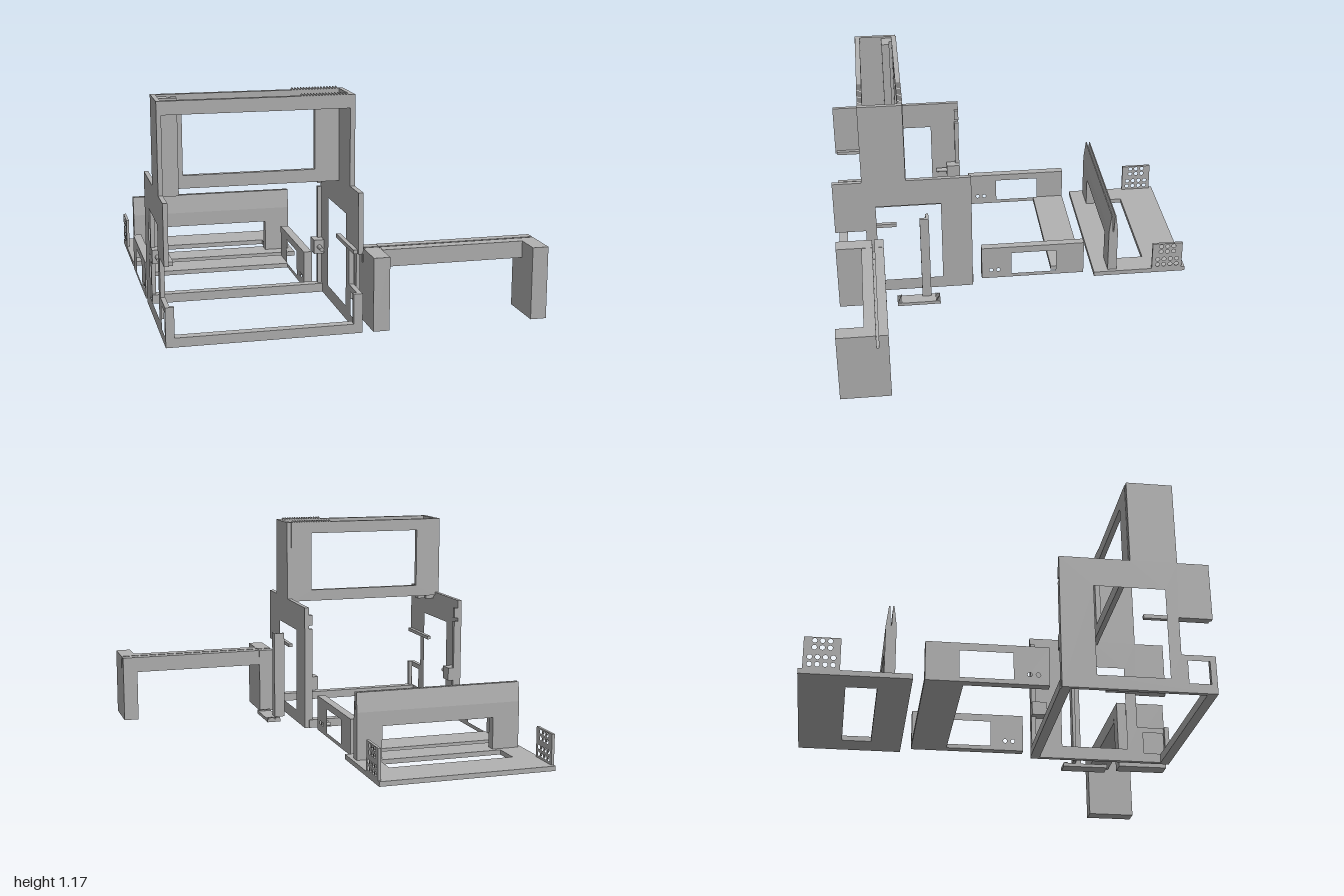
import * as THREE from 'three';

const grey = new THREE.MeshStandardMaterial({ color: 0xb2b2b2 });
grey.name = 'grey plastic';

function add(group, name, geometry) {
  const mesh = new THREE.Mesh(geometry, grey);
  mesh.name = name;
  group.add(mesh);
  return mesh;
}

// box given by its limits on each axis
function box(group, name, x0, x1, y0, y1, z0, z1) {
  const g = new THREE.BoxGeometry(x1 - x0, y1 - y0, z1 - z0);
  g.translate((x0 + x1) / 2, (y0 + y1) / 2, (z0 + z1) / 2);
  return add(group, name, g);
}

const rect = (a0, a1, y0, y1) => [[a0, y0], [a1, y0], [a1, y1], [a0, y1]];

function circle(a, y, r) {
  return Array.from({ length: 16 }, (_, i) => {
    const t = (i / 16) * Math.PI * 2;
    return [a + r * Math.cos(t), y + r * Math.sin(t)];
  });
}

function toShape(points, holes) {
  const vec = (list) => list.map(([a, b]) => new THREE.Vector2(a, b));
  const s = new THREE.Shape(vec(points));
  holes.forEach((h) => s.holes.push(new THREE.Path(vec(h))));
  return s;
}

// outline in (z, y), extruded from x0 to x1
function sidePlate(group, name, x0, x1, points, holes = []) {
  const flip = (list) => list.map(([z, y]) => [-z, y]);
  const g = new THREE.ExtrudeGeometry(toShape(flip(points), holes.map(flip)), { depth: x1 - x0, bevelEnabled: false });
  g.rotateY(Math.PI / 2);
  g.translate(x0, 0, 0);
  return add(group, name, g);
}

// outline in (x, y), extruded from z0 to z1
function facePlate(group, name, z0, z1, points, holes = []) {
  const g = new THREE.ExtrudeGeometry(toShape(points, holes), { depth: z1 - z0, bevelEnabled: false });
  g.translate(0, 0, z0);
  return add(group, name, g);
}

function part(parent, name) {
  const g = new THREE.Group();
  g.name = name;
  parent.add(g);
  return g;
}

function buildMainFrame(root) {
  const f = part(root, 'mainFrame');
  const outline = [[0.24, 0], [1, 0], [1, 0.2], [0.83, 0.2], [0.83, 0.4], [1, 0.4], [1, 0.705],
    [0.84, 0.705], [0.84, 1.16], [0.6, 1.16], [0.6, 0.705], [0.24, 0.705]];
  const holes = [rect(0.41, 0.77, 0.07, 0.55), rect(0.86, 0.97, 0.05, 0.17)];
  sidePlate(f, 'rightSidePanel', -0.97, -0.947, outline, holes);
  sidePlate(f, 'leftSidePanel', -0.025, 0, outline, holes);

  // floor bars
  box(f, 'frontFloorBar', -0.947, -0.025, 0, 0.047, 0.95, 1);
  box(f, 'backFloorBar', -0.947, -0.025, 0, 0.047, 0.235, 0.285);

  // tower: windowed back wall and a top front bar, both with a toothed edge
  facePlate(f, 'towerBackWall', 0.597, 0.625, rect(-0.947, -0.025, 0.688, 1.16),
    [rect(-0.82, -0.15, 0.753, 1.093)]);
  box(f, 'towerFrontBar', -0.947, -0.025, 1.093, 1.16, 0.81, 0.838);
  for (const z of [0.597, 0.81]) {
    for (let i = 0; i < 16; i++) {
      const x = -0.27 + i * 0.015;
      facePlate(f, 'tooth', z, z + 0.028, [[x, 1.158], [x + 0.013, 1.158], [x + 0.0065, 1.17]]);
    }
  }

  // hollow-looking column inside the tower
  box(f, 'towerColumn', -0.947, -0.85, 0.665, 1.15, 0.64, 0.685);
  box(f, 'towerColumnBack', -0.947, -0.895, 0.665, 1.15, 0.62, 0.64);

  // inner rails, corner posts and peg blocks on both sides
  for (const [wall, inward] of [[-0.947, 1], [-0.025, -1]]) {
    const inner = (name, w, y0, y1, z0, z1) =>
      box(f, name, Math.min(wall, wall + inward * w), Math.max(wall, wall + inward * w), y0, y1, z0, z1);
    inner('cornerPost', 0.022, 0, 0.58, 0.24, 0.265);
    inner('frontStub', 0.02, 0.047, 0.2, 0.975, 1);
    inner('lowerRail', 0.022, 0.4, 0.42, 0.66, 0.99);
    inner('upperRail', 0.022, 0.6, 0.66, 0.24, 0.265);
    inner('pegBlock', 0.055, 0.225, 0.3, 0.24, 0.32);
    const peg = new THREE.CylinderGeometry(0.012, 0.012, 0.065, 16);
    peg.rotateX(Math.PI / 2);
    peg.translate(wall + inward * 0.027, 0.262, 0.352);
    add(f, 'peg', peg);
  }
}

function buildTray(root) {
  const t = part(root, 'uShapedTray');
  const outline = rect(-0.41, 0.183, 0, 0.2);
  const holes = [rect(-0.248, 0.01, 0.022, 0.16), circle(0.128, 0.053, 0.011), circle(0.087, 0.053, 0.011)];
  sidePlate(t, 'rightArm', -0.97, -0.925, outline, holes);
  sidePlate(t, 'leftArm', -0.105, -0.06, outline, holes);
  box(t, 'trayFloor', -0.925, -0.105, 0, 0.025, -0.41, -0.225);
}

function buildBasePlate(root) {
  const b = part(root, 'slottedBase');
  const plate = new THREE.ExtrudeGeometry(
    toShape(rect(-0.97, -0.01, 0.465, 1), [rect(-0.835, -0.145, 0.625, 0.775)]),
    { depth: 0.026, bevelEnabled: false });
  plate.rotateX(-Math.PI / 2);
  add(b, 'basePlate', plate);

  // upright wall: two legs below a tapered, grooved upper part
  box(b, 'wallLeg', -0.95, -0.8, 0.026, 0.2, -0.6, -0.548);
  box(b, 'wallLeg', -0.17, -0.03, 0.026, 0.2, -0.6, -0.548);
  sidePlate(b, 'groovedWall', -0.95, -0.03, [[-0.548, 0.2], [-0.548, 0.28], [-0.561, 0.385], [-0.567, 0.385],
    [-0.572, 0.28], [-0.576, 0.28], [-0.581, 0.385], [-0.587, 0.385], [-0.6, 0.28], [-0.6, 0.2]]);

  // perforated end panels
  const holes = [];
  for (const y of [0.172, 0.137]) for (const z of [-0.855, -0.892, -0.929]) holes.push(circle(z, y, 0.012));
  for (const y of [0.087, 0.05]) for (const z of [-0.838, -0.875, -0.912, -0.949]) holes.push(circle(z, y, 0.012));
  for (const x of [-0.97, -0.025]) {
    sidePlate(b, 'perforatedPanel', x, x + 0.015, rect(-0.98, -0.805, 0.026, 0.19), holes);
  }
}

function buildBridge(root) {
  const d = part(root, 'bridgeBracket');
  // beam section with a narrow slot, carried on through both legs
  const slot = [[0.8, 0.375], [0.8, 0.3], [0.788, 0.3], [0.788, 0.375], [0.738, 0.375]];
  sidePlate(d, 'beam', 0.14, 0.885, [[0.738, 0.287], [0.86, 0.287], [0.86, 0.375], ...slot]);
  for (const x of [0.055, 0.885]) {
    sidePlate(d, 'leg', x, x + 0.083, [[0.738, 0], [1, 0], [1, 0.375], ...slot]);
  }
}

function buildPost(root) {
  const p = part(root, 'latchPost');
  box(p, 'foot', 0.093, 0.17, 0, 0.018, 0.437, 0.677);
  box(p, 'postWeb', 0.053, 0.113, 0.018, 0.52, 0.485, 0.502);
  box(p, 'postFlange', 0.095, 0.113, 0.018, 0.52, 0.502, 0.535);
  // grip ridges at both ends of the foot
  for (const z of [0.439, 0.652]) {
    for (let i = 0; i < 4; i++) box(p, 'gripRidge', 0.093, 0.17, 0.018, 0.024, z + i * 0.0065, z + i * 0.0065 + 0.0035);
  }
}

export function createModel() {
  const root = new THREE.Group();
  root.name = 'printedPartsSet';
  buildMainFrame(root);
  buildTray(root);
  buildBasePlate(root);
  buildBridge(root);
  buildPost(root);
  return root;
}
